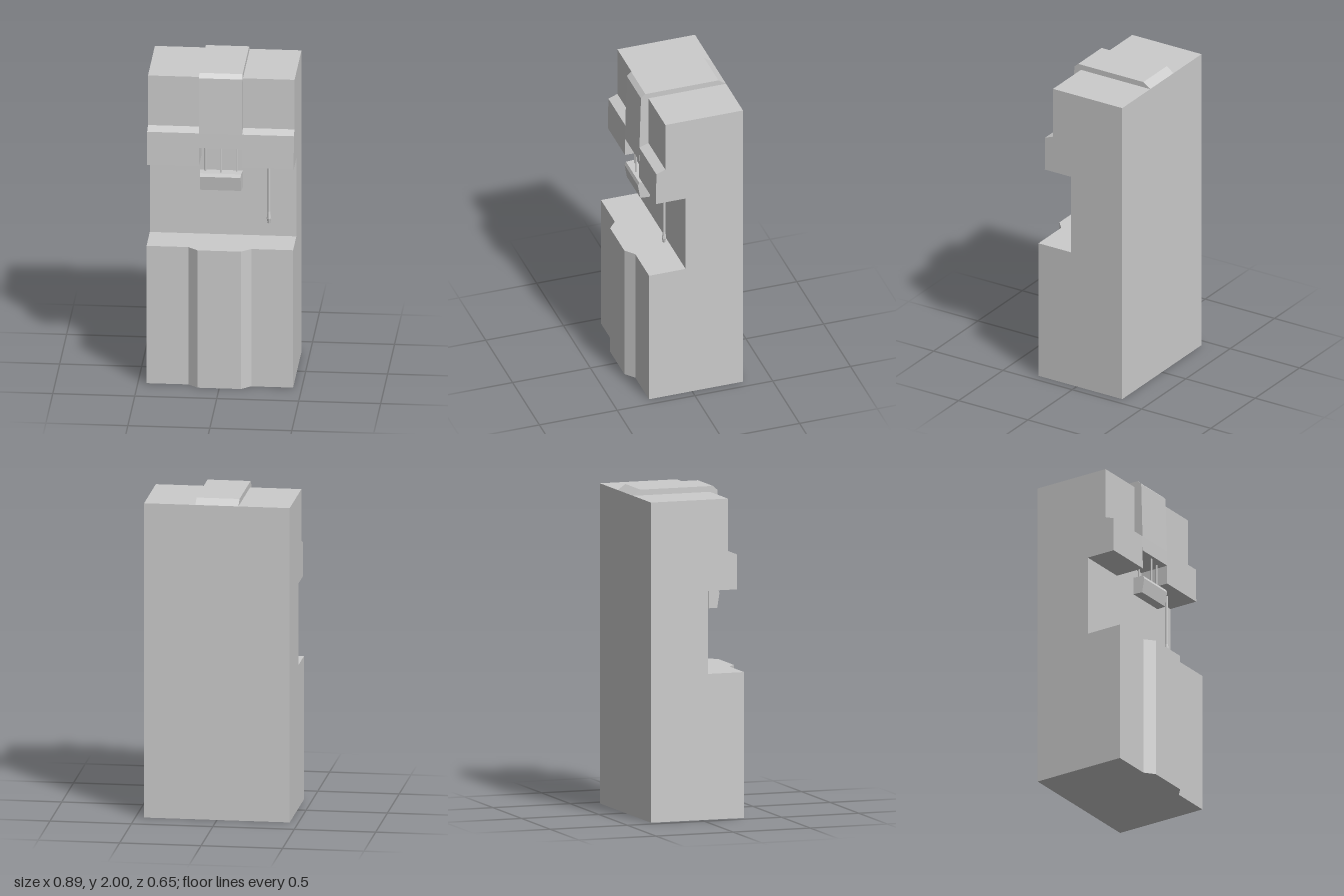
import * as THREE from 'three';

const material = new THREE.MeshStandardMaterial({ color: 0xcccccc, flatShading: true });

// Extrudes a side profile of [z, y] points from x0 to x1
function sideExtrude(points, x0, x1) {
  const shape = new THREE.Shape(points.map(([z, y]) => new THREE.Vector2(z, y)));
  const geometry = new THREE.ExtrudeGeometry(shape, { depth: x1 - x0, bevelEnabled: false });
  return geometry.rotateY(-Math.PI / 2).translate(x1, 0, 0);
}

export function createModel() {
  const group = new THREE.Group();
  const add = (name, geometry) => {
    const mesh = new THREE.Mesh(geometry, material);
    mesh.name = name;
    group.add(mesh);
    return mesh;
  };

  const halfW = 0.447, ridgeW = 0.132, back = -0.327, baseTop = 0.895;

  // Base cabinet with a raised, chamfered centre panel
  const plan = [
    [-halfW, back], [halfW, back], [halfW, 0.277], [0.192, 0.277],
    [ridgeW, 0.327], [-ridgeW, 0.327], [-0.192, 0.277], [-halfW, 0.277],
  ];
  const base = new THREE.Shape(plan.map(([x, z]) => new THREE.Vector2(x, -z)));
  add('baseCabinet', new THREE.ExtrudeGeometry(base, { depth: baseTop, bevelEnabled: false })
    .rotateX(-Math.PI / 2));

  // Upper body sides: rear column with overhanging head
  const sideProfile = [
    [back, baseTop], [0.042, baseTop], [0.042, 1.405], [0.232, 1.405],
    [0.23, 1.62], [0.172, 1.642], [0.172, 1.965], [back, 1.965],
  ];
  add('upperBodyLeft', sideExtrude(sideProfile, ridgeW, halfW));
  add('upperBodyRight', sideExtrude(sideProfile, -halfW, -ridgeW));

  // Centre strip: notch below the head, raised ridge over front and top
  const centreProfile = [
    [back, baseTop], [0.042, baseTop], [0.042, 1.525], [0.232, 1.525],
    [0.23, 1.62], [0.22, 1.975], [0.192, 2], [-0.278, 2], [back, 1.965],
  ];
  add('centreRidge', sideExtrude(centreProfile, -ridgeW, ridgeW));

  // Dispensing block, slightly narrower at its front
  const block = sideExtrude([
    [0.162, 1.25], [0.222, 1.25], [0.237, 1.34], [0.228, 1.36], [0.162, 1.36],
  ], -0.131, 0.131);
  const pos = block.attributes.position;
  for (let i = 0; i < pos.count; i++) {
    pos.setX(i, pos.getX(i) * (1 - (pos.getZ(i) - 0.162) * 0.75));
  }
  block.computeVertexNormals();
  add('dispensingBlock', block);

  // Rods holding the block
  for (const [x, z] of [[-0.095, 0.18], [0, 0.205], [0.095, 0.18]]) {
    add('supportRod', new THREE.CylinderGeometry(0.006, 0.006, 0.17, 8)).position.set(x, 1.442, z);
  }

  // Wand hanging under the head, with a swollen tip
  const wand = [[0, 1.01], [0.008, 1.01], [0.014, 1.04], [0.008, 1.085], [0.008, 1.41]];
  add('wand', new THREE.LatheGeometry(wand.map(([r, y]) => new THREE.Vector2(r, y)), 8))
    .position.set(0.287, 0, 0.125);

  return group;
}
